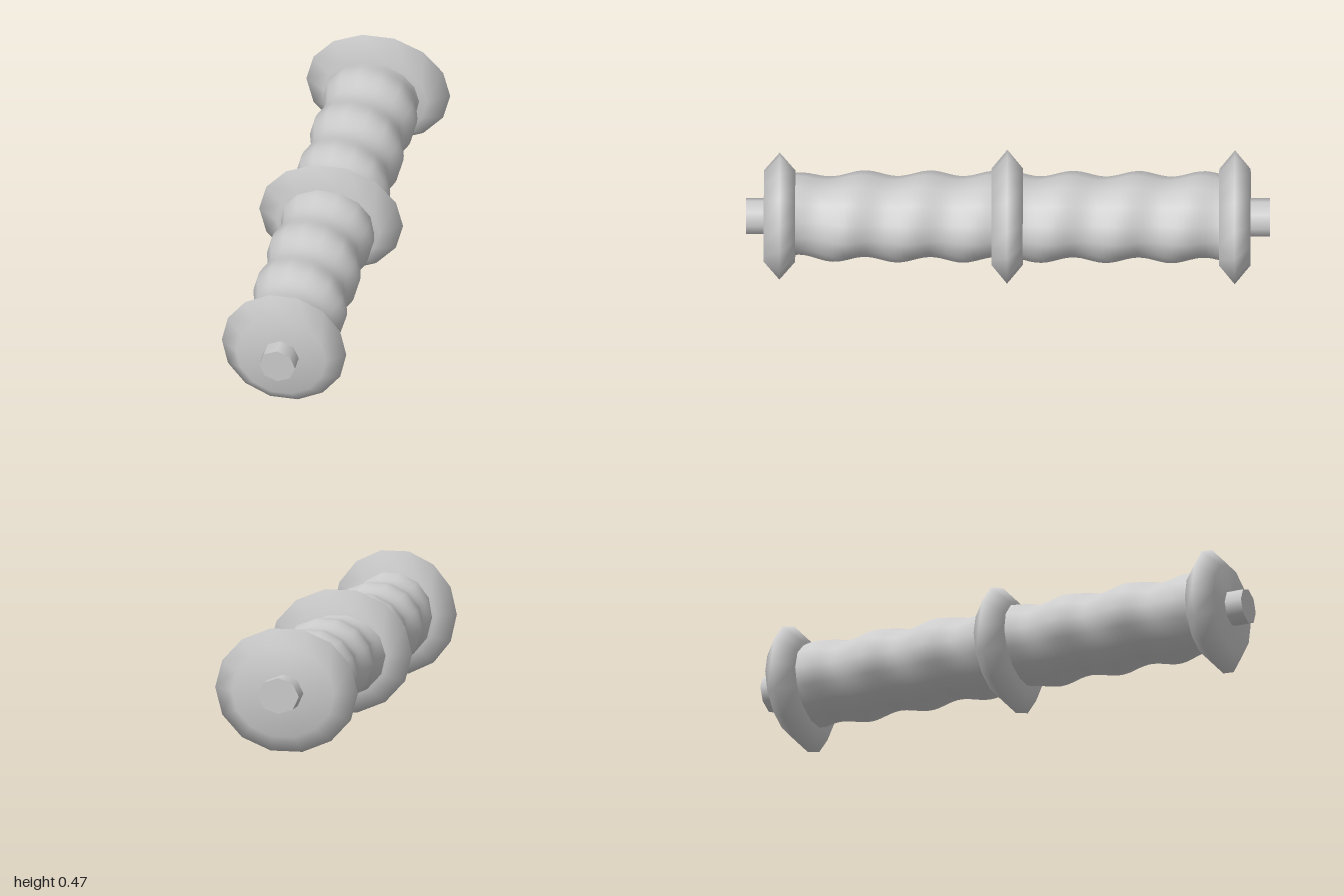
import * as THREE from 'three';
import { mergeVertices } from 'three/addons/utils/BufferGeometryUtils.js';

const AXIS_Y = 0.237;   // height of the long axis
const WIDE = 1.155;     // sideways stretch of all but the front end
const SIDES = 14;

export function createModel() {
  const group = new THREE.Group();
  const grey = new THREE.MeshStandardMaterial({ color: 0xcccccc });
  const add = (name, geometry, z, stretch) => {
    const mesh = new THREE.Mesh(geometry, grey);
    mesh.name = name;
    mesh.position.set(0, AXIS_Y, z);
    mesh.scale.x = stretch;
    group.add(mesh);
  };

  // Bevelled collars, smooth shaded from face to rim
  const profile = [[0, -0.06], [0.175, -0.06], [0.243, 0], [0.175, 0.06], [0, 0.06]]
    .map(([r, h]) => new THREE.Vector2(r, h));
  const collar = new THREE.LatheGeometry(profile, SIDES, Math.PI / 2).rotateX(Math.PI / 2);
  add('frontCollar', collar, 0.872, 1);
  add('middleCollar', collar, 0.003, WIDE);
  add('backCollar', collar, -0.866, WIDE);

  // Octagonal axle stubs
  const stub = new THREE.CylinderGeometry(0.07, 0.07, 0.1, 8).rotateX(Math.PI / 2);
  add('frontStub', stub, 0.95, 1);
  add('backStub', stub, -0.95, WIDE);

  // Grips with one shallow spiral groove
  const grip = (z0, z1, dipZ, narrowFront) => {
    let g = new THREE.CylinderGeometry(1, 1, z1 - z0, SIDES, 36, true, Math.PI / 2);
    g.rotateX(Math.PI / 2).translate(0, 0, (z0 + z1) / 2);
    const p = g.attributes.position;
    for (let i = 0; i < p.count; i++) {
      const a = Math.atan2(p.getY(i), p.getX(i));
      const z = p.getZ(i);
      const r = 0.157 - 0.01 * Math.cos(2 * Math.PI * (z - dipZ) / 0.25 - Math.PI + a);
      const t = narrowFront ? THREE.MathUtils.smoothstep(z, 0.6, 0.82) : 0;
      p.setXY(i, r * Math.cos(a) * THREE.MathUtils.lerp(WIDE, 1, t), r * Math.sin(a));
    }
    g.deleteAttribute('uv');
    g.deleteAttribute('normal');
    g = mergeVertices(g, 1e-4);
    g.computeVertexNormals();
    return g;
  };
  add('frontGrip', grip(0.04, 0.82, 0.385, true), 0, 1);
  add('backGrip', grip(-0.82, -0.04, -0.41, false), 0, 1);

  return group;
}
